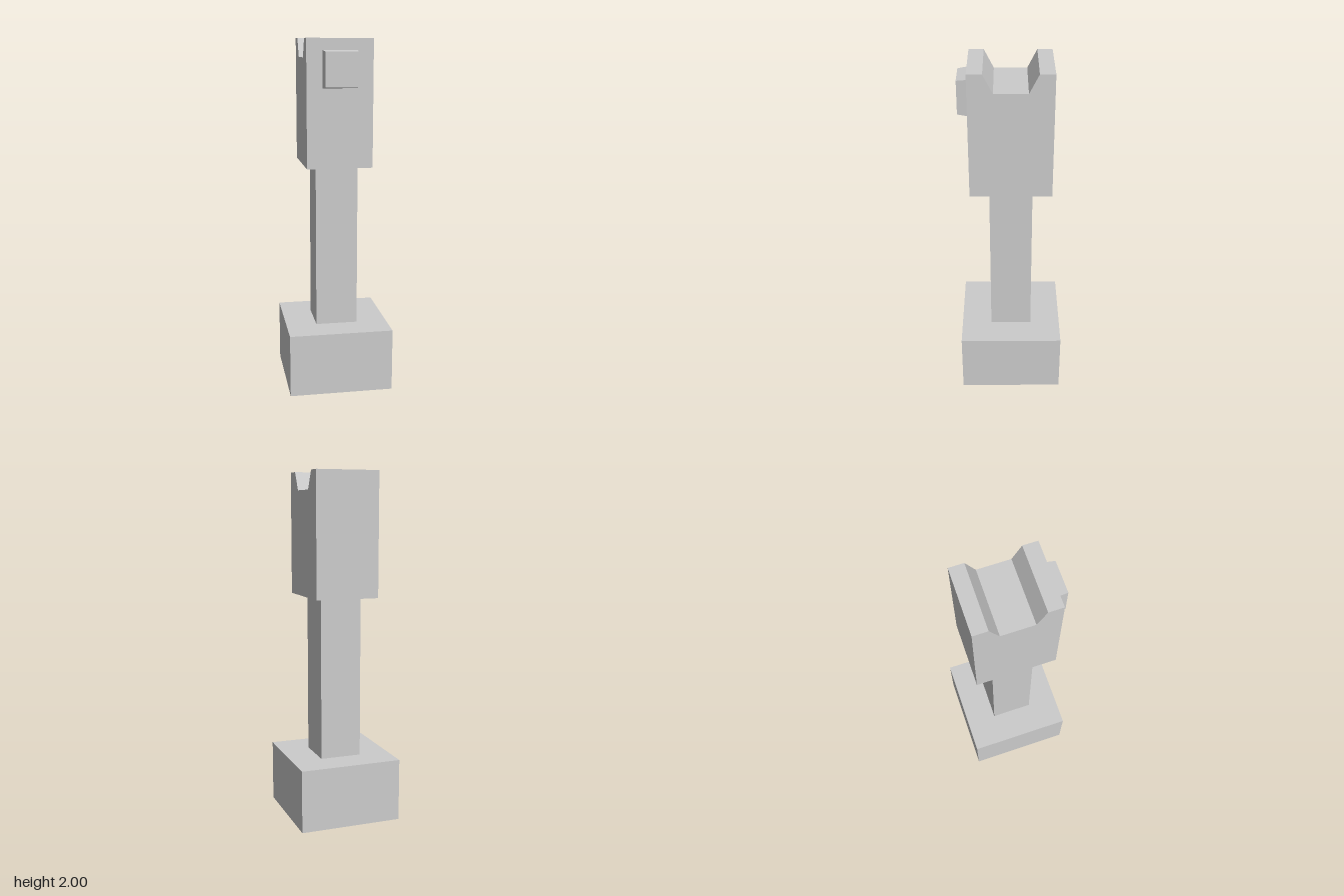
import * as THREE from 'three';

export function createModel() {
  const model = new THREE.Group();
  const material = new THREE.MeshStandardMaterial({ color: 0xcccccc, flatShading: true });

  const add = (name, geometry, x = 0, y = 0, z = 0) => {
    const mesh = new THREE.Mesh(geometry, material);
    mesh.name = name;
    mesh.position.set(x, y, z);
    model.add(mesh);
    return mesh;
  };

  // Square base and post
  add('base', new THREE.BoxGeometry(0.592, 0.36, 0.592), 0, 0.18, 0);
  add('post', new THREE.BoxGeometry(0.24, 0.94, 0.24), 0, 0.83, 0);

  // Head: side profile (z, y) with a trapezoid notch, extruded across x
  const profile = new THREE.Shape([
    [-0.226, 1.298], [0.226, 1.298], [0.226, 2], [0.144, 2],
    [0.091, 1.896], [-0.091, 1.896], [-0.144, 2], [-0.226, 2],
  ].map(([z, y]) => new THREE.Vector2(z, y)));
  const width = 0.366;
  const head = new THREE.ExtrudeGeometry(profile, { depth: width, bevelEnabled: false });
  head.translate(0, 0, -width / 2);
  head.rotateY(-Math.PI / 2); // profile's first axis becomes +z
  add('notchedHead', head);

  // Front button: a box whose outer face is slightly smaller
  const button = new THREE.BoxGeometry(0.192, 0.202, 0.058);
  const p = button.attributes.position;
  for (let i = 0; i < p.count; i++) {
    if (p.getZ(i) > 0) p.setXY(i, p.getX(i) * 0.925, p.getY(i) * 0.925);
  }
  button.computeVertexNormals();
  add('frontButton', button, 0, 1.836, 0.254);

  return model;
}
